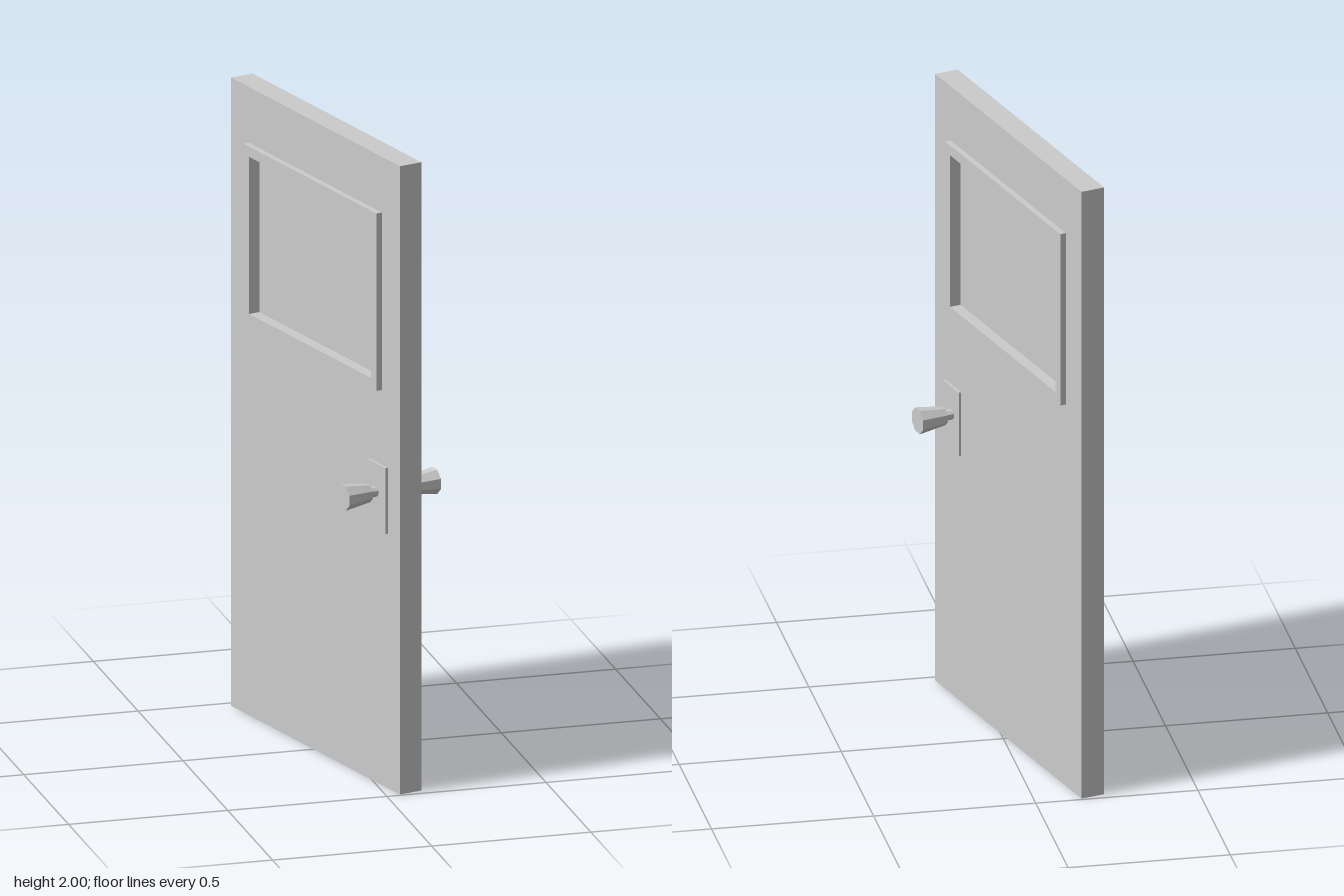
import * as THREE from 'three';

const grey = new THREE.MeshStandardMaterial({ color: 0xcccccc, flatShading: true });

const HALF_DOOR = 0.038;   // half thickness of the slab
const HALF_FRAME = 0.057;  // half thickness of the window frame
const WINDOW_Y = 1.54;
const LATCH_Y = 0.93;
const LATCH_Z = 0.371;

function mesh(name, geometry, x = 0, y = 0, z = 0) {
  const m = new THREE.Mesh(geometry, grey);
  m.name = name;
  m.position.set(x, y, z);
  return m;
}

// Traces a rectangle centred on (0, cy)
function rect(path, w, h, cy) {
  path.moveTo(-w / 2, cy - h / 2);
  path.lineTo(w / 2, cy - h / 2);
  path.lineTo(w / 2, cy + h / 2);
  path.lineTo(-w / 2, cy + h / 2);
  path.closePath();
  return path;
}

// Rectangular panel with a rectangular opening, lying in the z-y plane
function panelWithOpening(w, h, cy, holeW, holeH, holeY, depth) {
  const shape = rect(new THREE.Shape(), w, h, cy);
  shape.holes.push(rect(new THREE.Path(), holeW, holeH, holeY));
  const g = new THREE.ExtrudeGeometry(shape, { depth, bevelEnabled: false });
  g.translate(0, 0, -depth / 2);
  return g.rotateY(-Math.PI / 2);
}

// Eight-sided tapered bar pointing along x
function taper(rStart, rEnd, length, side) {
  const g = new THREE.CylinderGeometry(rEnd, rStart, length, 8, 1, false, Math.PI / 8);
  return g.rotateZ(-side * Math.PI / 2);
}

export function createModel() {
  const door = new THREE.Group();
  door.name = 'door';

  // Slab and window
  door.add(mesh('doorSlab', panelWithOpening(1, 2, 1, 0.786, 0.565, WINDOW_Y, HALF_DOOR * 2)));
  door.add(mesh('windowFrame', panelWithOpening(0.786, 0.565, WINDOW_Y, 0.72, 0.5, WINDOW_Y, HALF_FRAME * 2)));
  door.add(mesh('windowPane', new THREE.BoxGeometry(0.042, 0.5, 0.72), 0, WINDOW_Y, 0));

  // Latch plate and knob on each face
  for (const side of [1, -1]) {
    const latch = new THREE.Group();
    latch.name = side > 0 ? 'leftLatch' : 'rightLatch';
    latch.add(mesh('latchPlate', new THREE.BoxGeometry(0.009, 0.21, 0.107), side * 0.0415, 0.915, 0.375));
    latch.add(mesh('knobStem', taper(0.016, 0.016, 0.036, side), side * 0.058, LATCH_Y, LATCH_Z));
    latch.add(mesh('knob', taper(0.029, 0.0415, 0.089, side), side * 0.1165, LATCH_Y, LATCH_Z));
    door.add(latch);
  }

  // The door stands slightly ajar
  door.rotation.y = Math.PI / 12;
  door.position.x = -0.05;

  const model = new THREE.Group();
  model.name = 'doorModel';
  model.add(door);
  return model;
}
